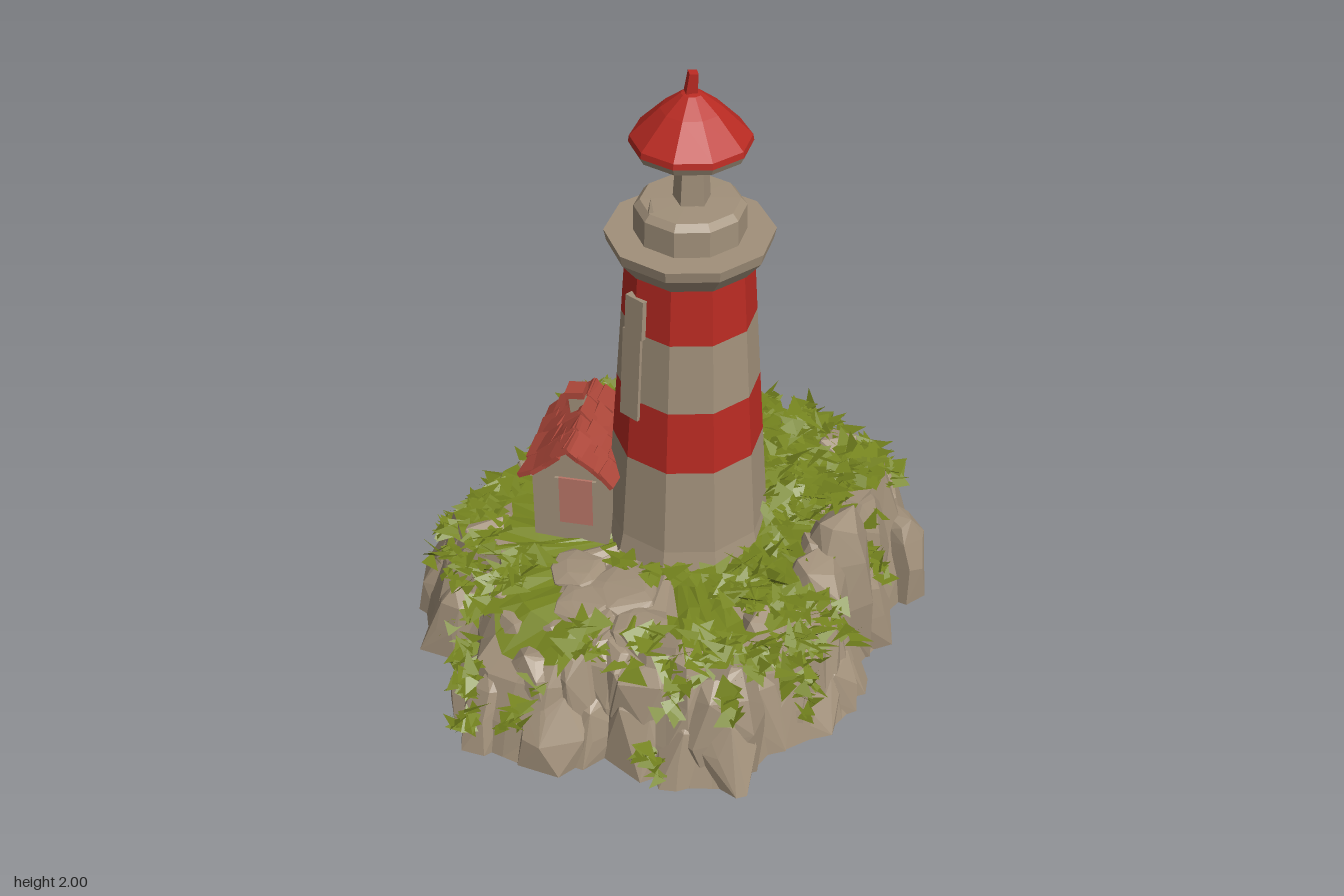
import * as THREE from 'three';
import { mergeGeometries } from 'three/addons/utils/BufferGeometryUtils.js';
import { ConvexGeometry } from 'three/addons/geometries/ConvexGeometry.js';

const TX = 0.03, TZ = -0.085; // tower axis

// Island outline seen from above, as x, z pairs
const OUTLINE = [[0.75, 0], [0.74, 0.1], [0.69, 0.2], [0.63, 0.3], [0.62, 0.5], [0.5, 0.58], [0.35, 0.62], [0.15, 0.58],
  [0.14, 0.7], [0.05, 0.8], [-0.18, 0.83], [-0.3, 0.75], [-0.36, 0.6], [-0.42, 0.5], [-0.6, 0.55], [-0.75, 0.4],
  [-0.72, 0.25], [-0.75, 0.1], [-0.7, -0.1], [-0.72, -0.4], [-0.6, -0.5], [-0.58, -0.62], [-0.42, -0.72], [-0.15, -0.75],
  [0.05, -0.8], [0.3, -0.83], [0.5, -0.76], [0.64, -0.66], [0.62, -0.45], [0.68, -0.35], [0.66, -0.15], [0.72, -0.1]];

export function createModel() {
  let seed = 11;
  const rand = () => (seed = (seed * 16807) % 2147483647) / 2147483647;
  const jit = (a) => (rand() - 0.5) * 2 * a;

  const mat = (name, color, extra = {}) => Object.assign(new THREE.MeshStandardMaterial({ color, ...extra }), { name });
  const stone = mat('stone', 0xa1907a);
  const red = mat('red paint', 0xb92a22);
  const grass = mat('grass', 0x76851f, { side: THREE.DoubleSide });
  const tile = mat('roof tile', 0xad473a);
  const doorPaint = mat('door paint', 0xb87466);

  const model = new THREE.Group();
  const flat = (g) => {
    const f = g.index ? g.toNonIndexed() : g;
    f.computeVertexNormals();
    return f;
  };
  const add = (name, geo, material, parent = model) => {
    const m = new THREE.Mesh(flat(geo), material);
    m.name = name;
    parent.add(m);
    return m;
  };
  const lathe = (pts, sides) => new THREE.LatheGeometry(pts.map((p) => new THREE.Vector2(p[0], p[1])), sides, Math.PI / sides);

  // Ground height: rises to the back and drops over the front lobe
  const step = THREE.MathUtils.smoothstep;
  const ground = (x, z) => 0.4 + 0.1 * step(-z, -0.1, 0.45) - 0.17 * step(z, 0.5, 0.78);
  const onEdge = (t, f) => {
    const n = OUTLINE.length, i = Math.floor(t) % n, k = t - Math.floor(t);
    const a = OUTLINE[i], b = OUTLINE[(i + 1) % n];
    return [(a[0] + (b[0] - a[0]) * k) * f, (a[1] + (b[1] - a[1]) * k) * f];
  };
  const onPath = (x, z) => Math.hypot((x - 0.04) / 0.26, (z - 0.36) / 0.15) < 1;

  // Island core: rings from the flat base, up the cliff and over the plateau
  const N = 64;
  const RINGS = [[0, 0], [0.96, 0], [0.92, 0.12], [0.86, 0.27], [0.8], [0.66], [0.5], [0.3], [0]];
  const rows = RINGS.map(([f, y], r) => Array.from({ length: N }, (_, j) => {
    const [x, z] = onEdge(j / 2, f && r > 1 ? f + jit(0.025) : f);
    const top = ground(x, z);
    return [x, y === undefined ? top + (f ? jit(0.012) : 0) : Math.min(y, top), z];
  }));
  const faces = { stone: [], grass: [] };
  for (let r = 0; r < rows.length - 1; r++) {
    for (let j = 0; j < N; j++) {
      const k = (j + 1) % N, a = rows[r][j], b = rows[r][k], c = rows[r + 1][j], d = rows[r + 1][k];
      const green = r >= 4 && !onPath(a[0], a[2]) && (r > 5 || rand() > 0.06);
      const list = green ? faces.grass : faces.stone;
      if (RINGS[r][0]) list.push(...a, ...c, ...b);
      if (RINGS[r + 1][0]) list.push(...b, ...c, ...d);
    }
  }
  const soup = (list) => new THREE.BufferGeometry().setAttribute('position', new THREE.Float32BufferAttribute(list, 3));
  add('islandCore', soup(faces.stone), stone);
  add('plateauGrass', soup(faces.grass), grass);

  // Faceted cliff rocks, leaning toward the middle of the island
  const rock = (x, z, r, h, lean = 0, y = 0) => {
    const pts = [];
    for (const [k, s] of [[0, 1], [0.45, 1], [0.82, 0.84], [1, 0.52]]) {
      for (let i = 0; i < 6; i++) {
        const a = (i + jit(0.4)) / 6 * Math.PI * 2, q = r * s * (0.97 + jit(0.1));
        pts.push(new THREE.Vector3(x * (1 - lean * k) + Math.cos(a) * q, y + h * (k + (k ? jit(0.06) : 0)),
          z * (1 - lean * k) + Math.sin(a) * q));
      }
    }
    return new ConvexGeometry(pts);
  };
  const rocks = [];
  OUTLINE.forEach(([x, z], i) => {
    const len = Math.hypot(x, z), back = step(-z, 0.1, 0.6), r = 0.11 + jit(0.025), f = 1 - r / len;
    const lobe = step(z, 0.6, 0.8);
    rocks.push(rock(x * f, z * f, r, 0.25 + 0.11 * back - 0.05 * lobe + jit(0.06), 0.1 - 0.06 * back));
    const [ux, uz] = onEdge(i + 0.5, 0.74 + jit(0.03));
    rocks.push(rock(ux, uz, 0.115 + jit(0.02), ground(ux, uz) - 0.005 + jit(0.02), 0.03));
  });
  // Large boulders on the model's left, and the shoulders of the front
  for (const [x, z, r, h] of [[0.53, -0.09, 0.13, 0.46], [0.52, -0.24, 0.14, 0.52], [0.46, 0.38, 0.16, 0.36],
    [0.25, 0.45, 0.15, 0.37], [-0.05, 0.5, 0.14, 0.37], [-0.5, 0.36, 0.13, 0.37], [-0.56, -0.2, 0.1, 0.43]]) {
    rocks.push(rock(x, z, r, h, 0.03));
  }
  add('cliffRocks', mergeGeometries(rocks), stone);

  // Flat stepping slabs leading to the door
  const slabs = [[-0.11, 0.31, 0.1], [0.06, 0.3, 0.13], [0.0, 0.4, 0.12], [0.19, 0.4, 0.1]];
  add('pathSlabs', mergeGeometries(slabs.map(([x, z, r], i) => rock(x, z, r, 0.04 - i * 0.005, 0, 0.38))), stone);

  // Spiky foliage: tufts of loose pointed leaves, with a vertical spread
  const leaves = [];
  const tuft = (x, y, z, size, count, spread) => {
    for (let i = 0; i < count; i++) {
      const a = rand() * Math.PI * 2, l = size * (0.6 + rand() * 0.7), w = size * (0.3 + rand() * 0.3);
      const cx = x + jit(size * 0.5), cz = z + jit(size * 0.5), ca = Math.cos(a), sa = Math.sin(a);
      leaves.push(cx - sa * w - ca * w, y + jit(spread), cz + ca * w - sa * w, cx + ca * l, y + jit(spread) + 0.01, cz + sa * l,
        cx + sa * w - ca * w, y + jit(spread), cz - ca * w - sa * w);
    }
  };
  for (let i = 0; i < 560; i++) {
    const f = 0.86 * Math.sqrt(rand()), [x, z] = onEdge(rand() * OUTLINE.length, f), chance = rand();
    const nearTower = Math.hypot(x - TX, z - TZ) < 0.29, nearHouse = Math.hypot(x + 0.29, z - 0.05) < 0.25;
    const onBoulder = Math.hypot((x - 0.53) / 0.13, (z + 0.17) / 0.2) < 1;
    const dense = z < -0.15 || (x > 0.3 && z < 0.2 && chance < 0.75) || (f > 0.64 && chance < 0.5);
    if (nearTower || nearHouse || onBoulder || onPath(x, z) || !dense) continue;
    const rise = rand() * 0.045 * step(-z, -0.1, 0.3);
    tuft(x, ground(x, z) + 0.02 + rise - Math.max(0, f - 0.74) * 0.7, z, 0.065, 5, 0.032);
  }
  // Growth hanging down the cliffs: outline position, lowest and highest point
  for (const [t, low, high] of [[2, 0.14, 0.36], [2.6, 0.26, 0.4], [1.2, 0.3, 0.42], [5.9, 0.06, 0.16], [5.3, 0.27, 0.37],
    [4, 0.28, 0.38], [9.4, 0.16, 0.26], [10, 0.06, 0.28], [10.6, 0.18, 0.28], [11.3, 0.2, 0.3], [12.6, 0.22, 0.38],
    [13.2, 0.06, 0.18], [13.6, 0.28, 0.4], [14.3, 0.3, 0.4], [15.4, 0.24, 0.36], [16, 0.2, 0.36], [16.6, 0.26, 0.4],
    [18.4, 0.34, 0.44], [20.4, 0.3, 0.46], [28.3, 0.24, 0.48], [28.8, 0.3, 0.48], [31.5, 0.26, 0.36]]) {
    for (let y = low; y <= high; y += 0.035) {
      const [x, z] = onEdge(t + jit(0.2), 0.985 - 2 * Math.max(0, y - 0.08) ** 2);
      tuft(x, y, z, 0.05, 4, 0.035);
    }
  }
  // Tufts around the foot of the tower
  for (const [x, z] of [[0.1, 0.2], [0.19, 0.17], [-0.02, 0.22], [0.27, 0.1]]) tuft(x, 0.42, z, 0.06, 7, 0.025);
  add('foliage', soup(leaves), grass);

  // Tower: tapering striped shaft
  const tower = new THREE.Group();
  tower.name = 'tower';
  tower.position.set(TX, 0, TZ);
  model.add(tower);
  const BANDS = [[0.38, 0.275], [0.47, 0.255], [0.77, 0.234], [0.985, 0.219], [1.22, 0.203], [1.43, 0.189]];
  [stone, stone, red, stone, red].forEach((m, i) => {
    const [y0, r0] = BANDS[i], [y1, r1] = BANDS[i + 1];
    add(m === red ? 'redBand' : 'stoneBand', lathe([[r0, y0], [r1, y1]], 10), m, tower);
  });
  add('gallery', lathe([[0.17, 1.4], [0.195, 1.405], [0.243, 1.465], [0.25, 1.5], [0.165, 1.5], [0.163, 1.58], [0.145, 1.6], [0, 1.605]], 10), stone, tower);
  add('lampPost', new THREE.CylinderGeometry(0.05, 0.058, 0.13, 5).translate(0.005, 1.655, 0), stone, tower);
  add('railSpike', new THREE.ConeGeometry(0.015, 0.07, 4).translate(-0.05, 1.61, 0.125), stone, tower);
  add('capUnderside', lathe([[0, 1.785], [0.165, 1.766], [0.176, 1.787]], 10), stone, tower);
  add('capRoof', lathe([[0.176, 1.787], [0.173, 1.805], [0.088, 1.89], [0.03, 1.935], [0, 1.942]], 10), red, tower);
  const finial = add('finial', new THREE.CylinderGeometry(0.018, 0.024, 0.075, 4), red, tower);
  finial.position.set(0, 1.961, 0);
  finial.rotation.z = -0.12;

  // Tall narrow window surround on the front of the shaft
  for (const [y, h, w, x, z] of [[1.07, 0.3, 0.072, -0.065, 0.178], [1.275, 0.13, 0.07, -0.055, 0.171]]) {
    const frame = add('windowSurround', new THREE.BoxGeometry(w, h, 0.06), stone, tower);
    frame.position.set(x, y, z);
    frame.rotation.set(-0.07, -0.15, 0);
  }

  // Keeper's house, turned toward the path
  const house = new THREE.Group();
  house.name = 'house';
  house.position.set(-0.285, 0, 0.05);
  house.rotation.y = 0.41;
  model.add(house);
  const gable = new THREE.Shape([[-0.12, 0.38], [0.12, 0.38], [0.12, 0.65], [0, 0.755], [-0.12, 0.65]].map((p) => new THREE.Vector2(...p)));
  add('houseWalls', new THREE.ExtrudeGeometry(gable, { depth: 0.34, bevelEnabled: false }).translate(0, 0, -0.17), stone, house);
  add('door', new THREE.BoxGeometry(0.108, 0.18, 0.009).translate(0.02, 0.56, 0.173), doorPaint, house);
  for (const s of [-1, 1]) add('doorPost', new THREE.BoxGeometry(0.012, 0.2, 0.014).translate(0.02 + s * 0.06, 0.55, 0.173), stone, house);

  // Uneven overlapping tiles on both slopes
  const tiles = [];
  for (const s of [-1, 1]) {
    for (let row = 0; row < 4; row++) {
      for (let c = 0; c < 4; c++) {
        const t = (row + 0.5) / 4, b = new THREE.BoxGeometry(0.066, 0.016, 0.104);
        b.rotateX(jit(0.12)).rotateY(jit(0.16)).rotateZ(-s * (0.66 + jit(0.14)));
        tiles.push(b.translate(s * 0.142 * t, 0.772 - 0.122 * t + jit(0.005), (c - 1.5) * 0.094 + jit(0.008)));
      }
    }
  }
  add('roofTiles', mergeGeometries(tiles), tile, house);
  add('chimney', new THREE.BoxGeometry(0.045, 0.11, 0.05).rotateZ(0.1).translate(-0.02, 0.77, -0.05), stone, house);
  add('chimneyCap', new THREE.BoxGeometry(0.06, 0.025, 0.062).rotateZ(0.14).translate(-0.025, 0.825, -0.05), tile, house);

  return model;
}
